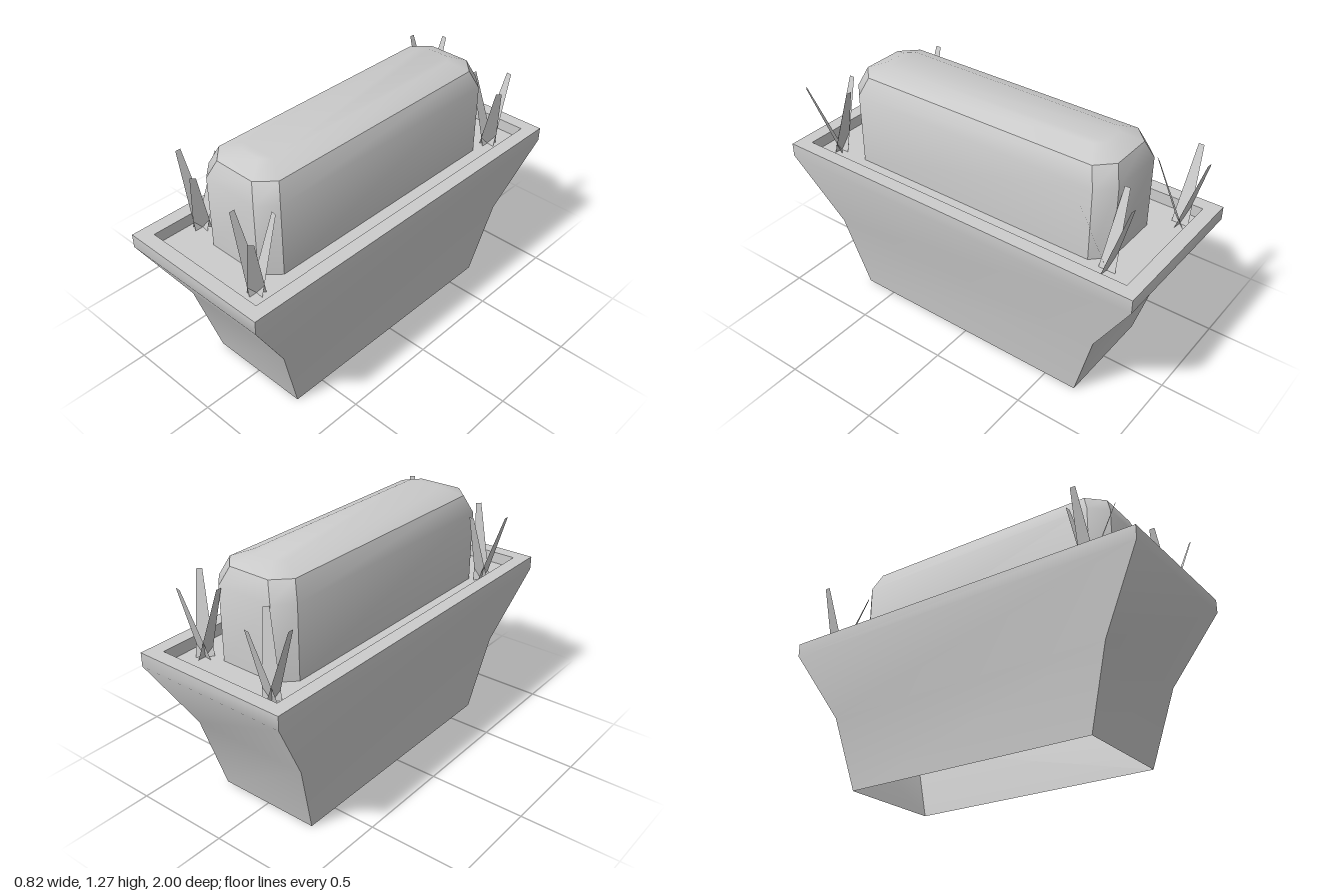
import * as THREE from 'three';
import { toCreasedNormals } from 'three/addons/utils/BufferGeometryUtils.js';

const CREASE = THREE.MathUtils.degToRad(36);
const SOIL = 0.77;

// Rectangle outline with optional chamfered corners, half sizes x and z
function outline(x, z, c = 0) {
  if (!c) return [[x, z], [x, -z], [-x, -z], [-x, z]];
  return [[x, z - c], [x, c - z], [x - c, -z], [c - x, -z],
    [-x, c - z], [-x, z - c], [c - x, z], [x - c, z]];
}

// Skin stacked sections [halfX, halfZ, y, chamfer], closing the last if capped
function loft(sections, capped) {
  const rings = sections.map(([x, z, y, c]) => outline(x, z, c).map(p => [p[0], y, p[1]]));
  const n = rings[0].length;
  const pos = [];
  for (let r = 0; r < rings.length - 1; r++) {
    for (let i = 0; i < n; i++) {
      const j = (i + 1) % n;
      const a = rings[r][i], b = rings[r][j], c = rings[r + 1][j], d = rings[r + 1][i];
      pos.push(...a, ...b, ...c, ...a, ...c, ...d);
    }
  }
  if (capped) {
    const top = rings[rings.length - 1];
    for (let i = 1; i < n - 1; i++) pos.push(...top[0], ...top[i], ...top[i + 1]);
  }
  const geo = new THREE.BufferGeometry();
  geo.setAttribute('position', new THREE.Float32BufferAttribute(pos, 3));
  return toCreasedNormals(geo, CREASE);
}

// Flat tapering blade, rooted at the origin and leaning outward along +x
function bladeGeometry(lean, height) {
  const shape = new THREE.Shape([
    new THREE.Vector2(-0.042, 0), new THREE.Vector2(0.042, 0),
    new THREE.Vector2(0.014, 1), new THREE.Vector2(-0.014, 1),
  ]);
  const geo = new THREE.ShapeGeometry(shape);
  const p = geo.attributes.position;
  for (let i = 0; i < p.count; i++) {
    const t = p.getY(i);
    p.setXYZ(i, t * lean, t * height, -p.getX(i));
  }
  geo.computeVertexNormals();
  return geo;
}

export function createModel() {
  const model = new THREE.Group();
  model.name = 'planterWithHedge';
  const mat = new THREE.MeshStandardMaterial({ color: 0xcccccc, side: THREE.DoubleSide });
  const add = (geo, name, parent = model) => {
    const mesh = new THREE.Mesh(geo, mat);
    mesh.name = name;
    parent.add(mesh);
    return mesh;
  };

  // Flared trough, open below, with a flat rim and a short inner wall
  add(loft([
    [0.275, 0.67, 0], [0.32, 0.78, 0.39], [0.41, 1, 0.76],
    [0.41, 1, 0.83], [0.34, 0.93, 0.83], [0.34, 0.93, SOIL],
  ], false), 'planterBox');

  // Soil bed
  const soil = add(new THREE.PlaneGeometry(0.68, 1.86).rotateX(-Math.PI / 2), 'soil');
  soil.position.y = SOIL;

  // Clipped hedge with bevelled corners and rounded top
  add(loft([
    [0.23, 0.75, SOIL, 0.08], [0.23, 0.75, 1.14, 0.08],
    [0.19, 0.715, 1.23, 0.08], [0.095, 0.62, 1.27, 0.04],
  ], true), 'hedge');

  // Four grass tufts of three blades: [heading in degrees, lean]
  const blades = [[180, 0.12], [82, 0.11], [-43, 0.14]];
  const tufts = [[-0.25, -0.866], [0.242, -0.776], [-0.287, 0.7], [0.231, 0.832]];
  tufts.forEach(([x, z], i) => {
    const tuft = new THREE.Group();
    tuft.name = `grassTuft${i + 1}`;
    tuft.position.set(x, SOIL, z);
    blades.forEach(([heading, lean], k) => {
      const blade = add(bladeGeometry(lean, 1.143 - SOIL), `blade${k + 1}`, tuft);
      blade.rotation.y = THREE.MathUtils.degToRad(heading);
    });
    model.add(tuft);
  });

  return model;
}
